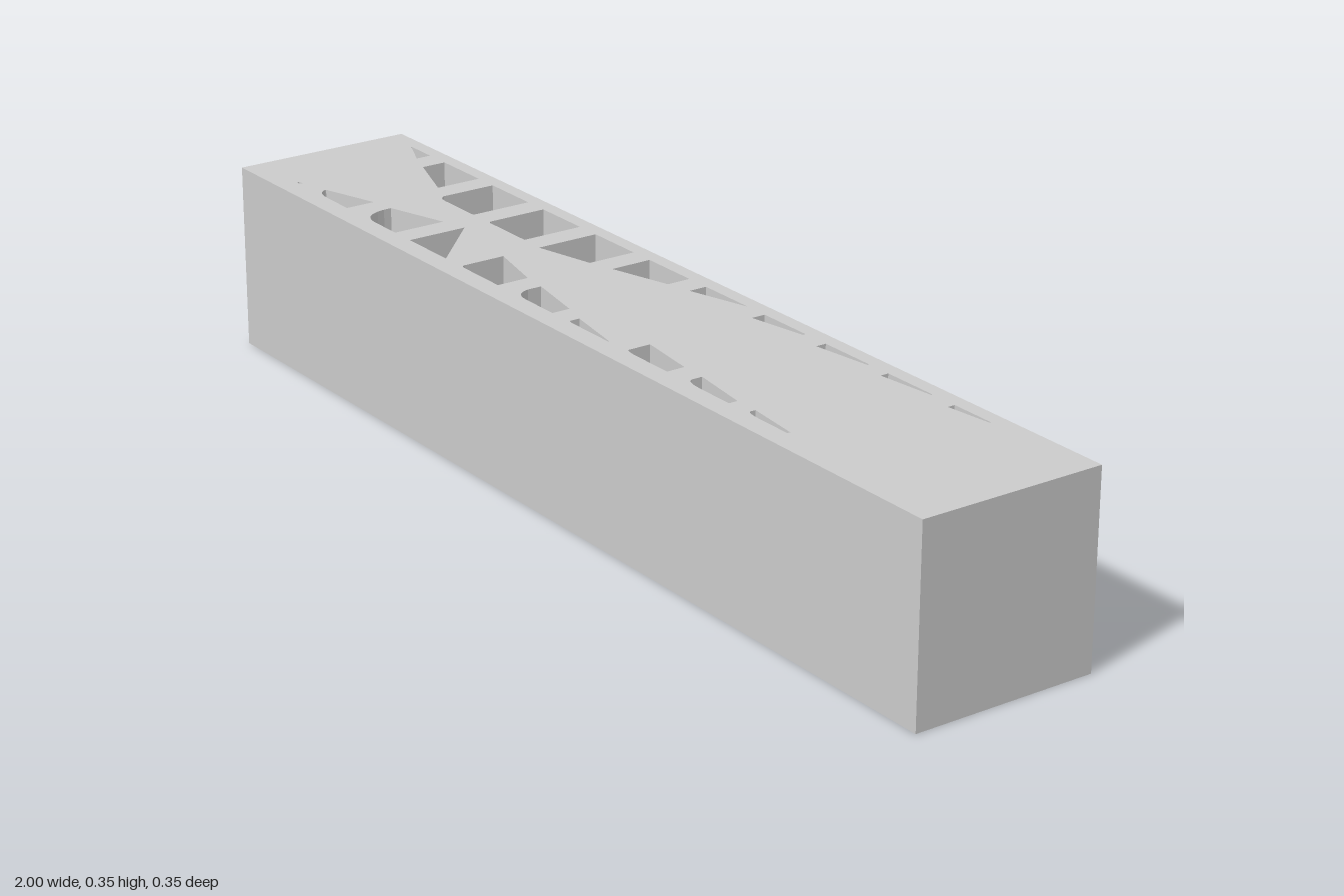
import * as THREE from 'three';

const LENGTH = 2, WIDTH = 0.354, HEIGHT = 0.354, FLOOR = 0.03;
const BACK = -0.15, FRONT = 0.137; // straight outer edges of the two pocket rows

// Back row: [x0, x1, inner z at x0, inner z at x1, corner cut in x, corner cut in z]
const backRow = [
  [-0.92, -0.855, -0.149, -0.12],
  [-0.805, -0.687, -0.102, -0.06],
  [-0.64, -0.522, -0.03, -0.03, 0.025, 0.013],
  [-0.473, -0.356, -0.03, -0.03, 0.01, 0.006],
  [-0.307, -0.19, -0.028, -0.056],
  [-0.142, -0.024, -0.07, -0.104],
  [0.024, 0.14, -0.115, -0.149],
  [0.19, 0.302, -0.123, -0.144],
  [0.356, 0.47, -0.13, -0.146],
  [0.519, 0.631, -0.134, -0.147],
  [0.685, 0.773, -0.136, -0.147],
];

// Front row: [x0, x1, inner z at x0, inner z at x1, rounding in x, rounding in z]
const frontRow = [
  [-0.865, -0.855, 0.133, 0.13],
  [-0.797, -0.687, 0.115, 0.08, 0.045, 0.02],
  [-0.64, -0.522, 0.072, 0.035, 0.05, 0.05],
  [-0.473, -0.356, 0.021, 0.136],
  [-0.307, -0.19, 0.048, 0.075, 0.012, 0.008],
  [-0.142, -0.024, 0.08, 0.102, 0.04, 0.03],
  [0.024, 0.14, 0.115, 0.135, 0.015, 0.004],
  [0.19, 0.305, 0.088, 0.102, 0.03, 0.006],
  [0.356, 0.472, 0.104, 0.12, 0.04, 0.012],
  [0.519, 0.623, 0.12, 0.131, 0.03, 0.007],
];

// Pocket outline in plan: x across, z as the second coordinate
function backPocket([x0, x1, z0, z1, cx = 0, cz = 0]) {
  const p = new THREE.Path();
  p.moveTo(x0, BACK);
  p.lineTo(x1, BACK);
  p.lineTo(x1, z1);
  if (cx) {
    p.lineTo(x0 + cx, z0);
    p.quadraticCurveTo(x0 + cx * 0.2, z0, x0, z0 - cz);
  } else p.lineTo(x0, z0);
  p.closePath();
  return p;
}

function frontPocket([x0, x1, z0, z1, rx = 0, rz = 0]) {
  const p = new THREE.Path();
  p.moveTo(x0, z0);
  p.lineTo(x1, z1);
  p.lineTo(x1, FRONT);
  if (rx) {
    p.lineTo(x0 + rx, FRONT);
    p.quadraticCurveTo(x0 + rx * 0.1, FRONT, x0, FRONT - rz);
  } else p.lineTo(x0, FRONT);
  p.closePath();
  return p;
}

export function createModel() {
  const group = new THREE.Group();
  group.name = 'pocketedBeam';
  const material = new THREE.MeshStandardMaterial({ color: 0xcccccc, flatShading: true });

  // Beam body with the pockets cut down from the top
  const w = LENGTH / 2, d = WIDTH / 2;
  const plan = new THREE.Shape([
    new THREE.Vector2(-w, -d), new THREE.Vector2(w, -d),
    new THREE.Vector2(w, d), new THREE.Vector2(-w, d),
  ]);
  plan.holes.push(...backRow.map(backPocket), ...frontRow.map(frontPocket));
  const bodyGeometry = new THREE.ExtrudeGeometry(plan, {
    depth: HEIGHT - FLOOR, bevelEnabled: false, curveSegments: 6,
  });
  bodyGeometry.rotateX(Math.PI / 2).translate(0, HEIGHT, 0);
  const body = new THREE.Mesh(bodyGeometry, material);
  body.name = 'beamBody';

  // Closed floor under the pockets
  const floor = new THREE.Mesh(new THREE.BoxGeometry(LENGTH, FLOOR, WIDTH), material);
  floor.name = 'beamFloor';
  floor.position.y = FLOOR / 2;

  group.add(body, floor);
  return group;
}
